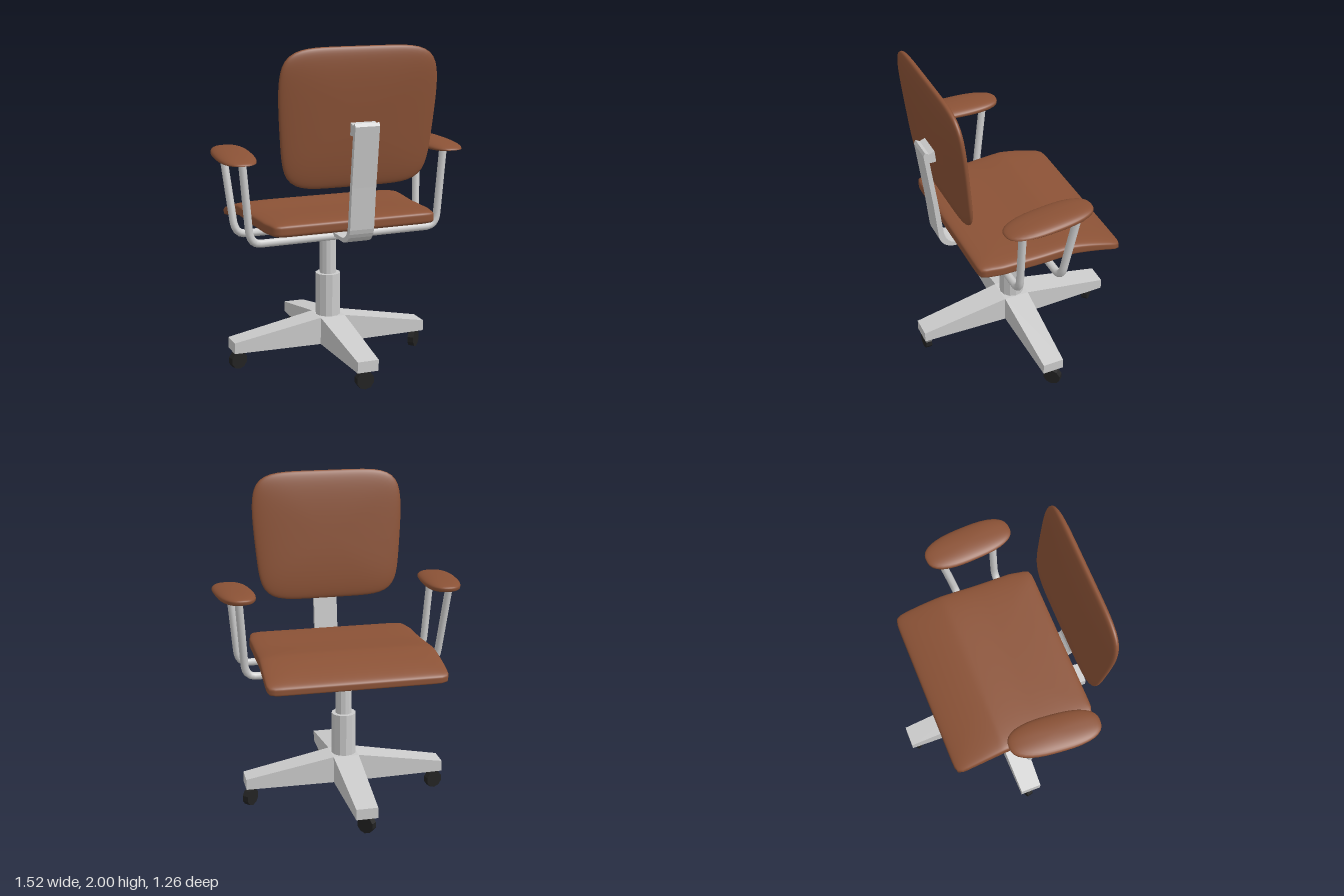
import * as THREE from 'three';
import { mergeVertices } from 'three/addons/utils/BufferGeometryUtils.js';

const leather = new THREE.MeshStandardMaterial({ color: 0x8b5236 });
const metal = new THREE.MeshStandardMaterial({ color: 0xcccccc });
const metalFlat = new THREE.MeshStandardMaterial({ color: 0xcccccc, flatShading: true });
const rubber = new THREE.MeshStandardMaterial({ color: 0x222222, flatShading: true });

const YAW = 0.023; // the upper part is turned slightly on its column

function part(name, geometry, material, x = 0, y = 0, z = 0) {
  const mesh = new THREE.Mesh(geometry, material);
  mesh.name = name;
  mesh.position.set(x, y, z);
  return mesh;
}

// Cushion: superellipse outline in x/z (power n), rounded edge (power m), then bent by a rule
function cushion(hx, hy, hz, n, m, bend, around = 96, rows = 40) {
  let g = new THREE.SphereGeometry(1, around, rows);
  g.deleteAttribute('uv');
  g.deleteAttribute('normal');
  g = mergeVertices(g, 1e-5);
  const p = g.attributes.position;
  const v = new THREE.Vector3();
  for (let i = 0; i < p.count; i++) {
    v.fromBufferAttribute(p, i);
    const s = Math.hypot(v.x, v.z);
    const c = s > 1e-4 ? v.x / s : 1;
    const d = s > 1e-4 ? v.z / s : 0;
    const outline = 1 / (Math.abs(c) ** n + Math.abs(d) ** n) ** (1 / n);
    const edge = 1 / (s ** m + Math.abs(v.y) ** m) ** (1 / m);
    v.set(c * s * edge * outline * hx, v.y * edge * hy, d * s * edge * outline * hz);
    if (bend) bend(v);
    p.setXYZ(i, v.x, v.y, v.z);
  }
  g.computeVertexNormals();
  return g;
}

// Tapered leg pointing along +x, starting at the hub
function legGeometry() {
  const inner = 0.08, outer = 0.63;
  const g = new THREE.BoxGeometry(1, 1, 1);
  const p = g.attributes.position;
  for (let i = 0; i < p.count; i++) {
    const far = p.getX(i) > 0;
    const top = p.getY(i) > 0;
    const half = far ? 0.066 : 0.08;
    p.setXYZ(i, far ? outer : inner, top ? (far ? 0.197 : 0.3) : 0.13, Math.sign(p.getZ(i)) * half);
  }
  g.computeVertexNormals();
  return g;
}

function buildBase() {
  const base = new THREE.Group();
  base.name = 'base';
  const star = new THREE.Group();
  star.name = 'starBase';
  star.add(part('hub', new THREE.BoxGeometry(0.16, 0.17, 0.16), metalFlat, 0, 0.215, 0));
  const leg = legGeometry();
  for (let i = 0; i < 4; i++) {
    const mesh = part('leg', leg, metalFlat);
    mesh.rotation.y = i * Math.PI / 2;
    star.add(mesh);
  }
  star.rotation.set(0, 0.015, -0.006);
  base.add(star);

  // Casters: position and swivel angle of the axle
  const wheel = new THREE.CylinderGeometry(0.055, 0.055, 0.04, 10).rotateX(Math.PI / 2);
  const casters = [
    [0.6, 0.056, -0.02, Math.PI / 4],
    [-0.585, 0.066, -0.01, 0.3],
    [0, 0.075, 0.597, 0],
    [-0.02, 0.068, -0.563, -Math.PI / 4],
  ];
  for (const [x, y, z, turn] of casters) {
    const caster = part('caster', wheel, rubber, x, y, z);
    caster.rotation.y = turn;
    base.add(caster);
  }

  // Gas lift column
  base.add(part('columnSleeve', new THREE.CylinderGeometry(0.077, 0.077, 0.27, 12), metalFlat, 0, 0.43, 0));
  base.add(part('columnRod', new THREE.CylinderGeometry(0.051, 0.051, 0.32, 12), metalFlat, 0, 0.71, 0));
  base.add(part('columnCollar', new THREE.CylinderGeometry(0.072, 0.072, 0.035, 12), metalFlat, 0, 0.865, 0));
  base.position.x = -0.013;
  return base;
}

// Bent tube running under the seat and up to both arm pads
function armTube(zTop, zLow) {
  const V = (x, y, z) => new THREE.Vector3(x, y, z);
  const side = (s) => [V(s * 0.645, 1.345, zTop), V(s * 0.61, 0.94, zLow + (zTop - zLow) * 0.16),
    V(s * 0.603, 0.86, zLow), V(s * 0.54, 0.858, zLow)];
  const a = side(-1), b = side(1);
  const path = new THREE.CurvePath();
  path.add(new THREE.LineCurve3(a[0], a[1]));
  path.add(new THREE.QuadraticBezierCurve3(a[1], a[2], a[3]));
  path.add(new THREE.LineCurve3(a[3], b[3]));
  path.add(new THREE.QuadraticBezierCurve3(b[3], b[2], b[1]));
  path.add(new THREE.LineCurve3(b[1], b[0]));
  return new THREE.TubeGeometry(path, 90, 0.024, 8);
}

// Flat bar from the column to the backrest, drawn in z/y and extruded across x
function bracketGeometry() {
  const s = new THREE.Shape();
  s.moveTo(-0.06, 0.85);
  s.lineTo(0.1, 0.868);
  s.lineTo(0.28, 0.862);
  s.lineTo(0.4, 0.858);
  s.quadraticCurveTo(0.49, 0.862, 0.51, 0.95);
  s.lineTo(0.535, 1.2);
  s.lineTo(0.58, 1.555);
  s.lineTo(0.57, 1.575);
  s.lineTo(0.545, 1.56);
  s.lineTo(0.5, 1.578);
  s.lineTo(0.46, 1.57);
  s.lineTo(0.46, 1.5);
  s.lineTo(0.545, 1.5);
  s.lineTo(0.505, 1.2);
  s.lineTo(0.478, 0.97);
  s.quadraticCurveTo(0.465, 0.89, 0.39, 0.882);
  s.lineTo(0.28, 0.884);
  s.lineTo(0.1, 0.888);
  s.lineTo(-0.06, 0.882);
  s.closePath();
  const g = new THREE.ExtrudeGeometry(s, { depth: 0.15, bevelEnabled: false, curveSegments: 6 });
  return g.translate(0, 0, -0.075).rotateY(-Math.PI / 2);
}

export function createModel() {
  const chair = new THREE.Group();
  chair.name = 'officeChair';
  chair.add(buildBase());

  const upper = new THREE.Group();
  upper.name = 'upperChair';
  upper.rotation.y = YAW;
  chair.add(upper);

  // Seat: flat slab with a drooping front edge and pinched rear corners
  const smooth = THREE.MathUtils.smoothstep;
  upper.add(part('seat', cushion(0.545, 0.05, 0.452, 26, 5, (v) => {
    v.z -= 0.018;
    v.x *= 1 - 0.03 * smooth(v.z, -0.4, 0.3) - 0.03 * smooth(v.z, 0.28, 0.4);
    v.y *= 1 - 0.22 * smooth(-v.z, 0.1, 0.47);
    const droop = Math.max(0, -v.z - 0.16);
    v.y += 0.96 + 0.01 * smooth(-v.z, -0.1, 0.16) - 0.14 * droop - 0.33 * droop * droop;
  }, 144, 64), leather, -0.003, 0, 0));

  // Backrest: upright padded panel, narrower at the bottom, leaning back
  const back = part('backrest', cushion(0.482, 0.042, 0.405, 5.5, 2.7, (v) => {
    v.x *= 1 - 0.07 * smooth(v.z, -0.2, 0.405);
  }).rotateX(Math.PI / 2), leather, -0.02, 1.595, 0.472);
  back.rotation.x = 0.1;
  upper.add(back);

  upper.add(part('backBracket', bracketGeometry(), metalFlat, -0.008, 0, 0));

  // Arm frames and pads
  const arms = new THREE.Group();
  arms.name = 'armrests';
  arms.rotation.y = 0.018;
  arms.add(part('rearArmTube', armTube(0.245, 0.245), metal));
  arms.add(part('frontArmTube', armTube(-0.105, -0.025), metal));
  for (const s of [-1, 1]) {
    const pad = part(s > 0 ? 'leftArmPad' : 'rightArmPad', cushion(0.113, 0.035, 0.274, 2.6, 2.2, (v) => {
      if (v.y < 0) v.y *= 0.9;
      v.y -= 0.012 * v.z / 0.27 * (v.y > 0 ? 1 : 0.2);
    }, 40, 20), leather, s * 0.645, 1.352, 0.09);
    pad.rotation.y = s * 0.08 - 0.03;
    arms.add(pad);
  }
  upper.add(arms);
  return chair;
}
